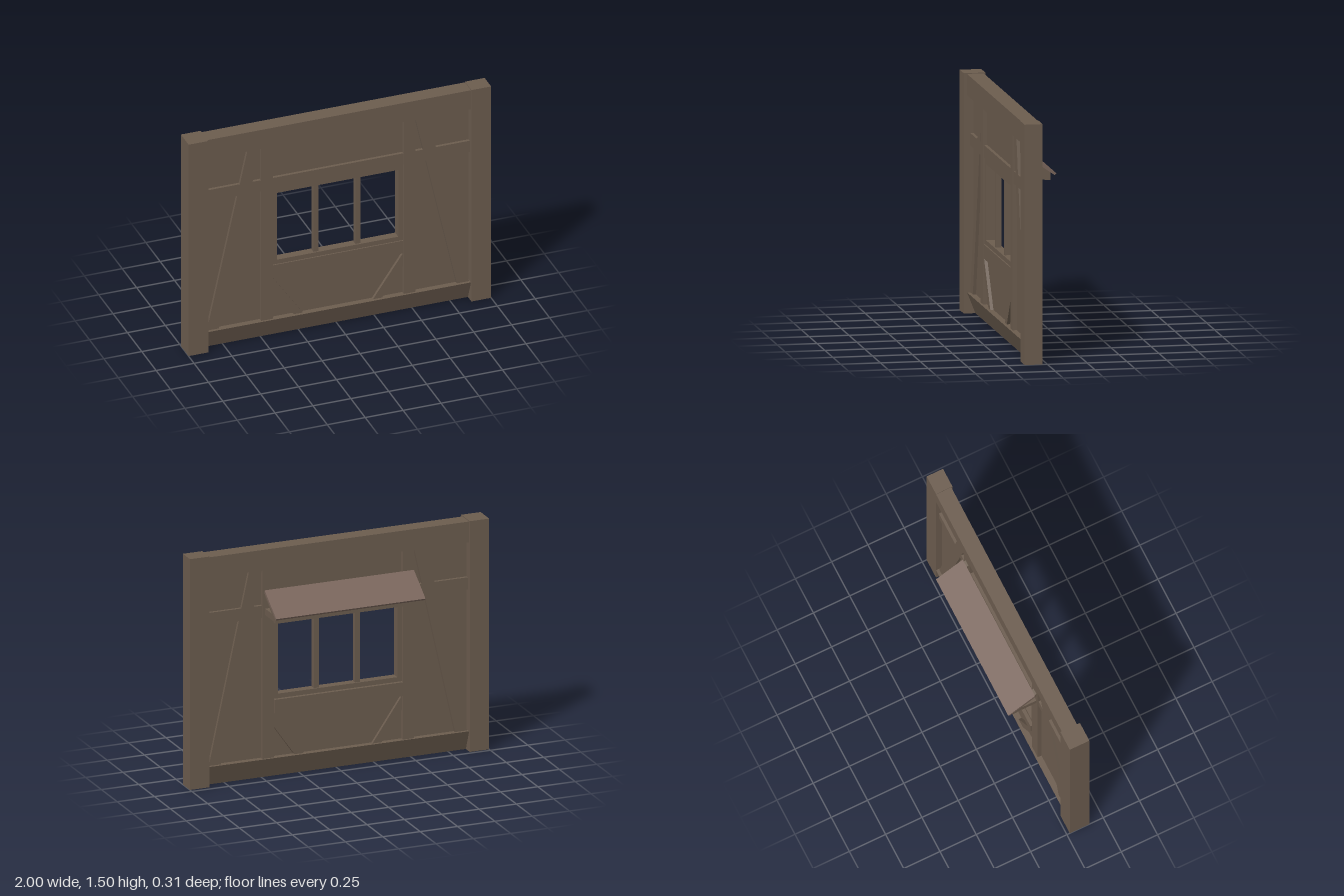
import * as THREE from 'three';

export function createModel() {
  const wood = new THREE.MeshStandardMaterial({ color: 0x6b5c4e });
  wood.name = 'timber brown';
  const roofWood = new THREE.MeshStandardMaterial({ color: 0x78645a });
  roofWood.name = 'awning reddish brown';

  const model = new THREE.Group();
  model.name = 'timberWallWithWindow';

  const add = (name, geometry, material = wood) => {
    const mesh = new THREE.Mesh(geometry, material);
    mesh.name = name;
    model.add(mesh);
    return mesh;
  };

  // Box given by its limits on each axis
  const box = (name, x0, x1, y0, y1, z0, z1, material) => {
    const g = new THREE.BoxGeometry(x1 - x0, y1 - y0, z1 - z0);
    g.translate((x0 + x1) / 2, (y0 + y1) / 2, (z0 + z1) / 2);
    return add(name, g, material);
  };

  const shapeOf = (points) => new THREE.Shape(points.map(([x, y]) => new THREE.Vector2(x, y)));

  // Outline in x, y given thickness along z
  const plate = (name, points, z0, z1, hole) => {
    const shape = shapeOf(points);
    if (hole) shape.holes.push(shapeOf(hole));
    const g = new THREE.ExtrudeGeometry(shape, { depth: z1 - z0, bevelEnabled: false });
    g.translate(0, 0, z0);
    return add(name, g);
  };

  // Profile in z, y swept along x
  const sweep = (name, points, x0, x1, material) => {
    const g = new THREE.ExtrudeGeometry(shapeOf(points), { depth: x1 - x0, bevelEnabled: false });
    g.rotateY(-Math.PI / 2);
    g.translate(x1, 0, 0);
    return add(name, g, material);
  };

  const rect = (x0, x1, y0, y1) => [[x0, y0], [x1, y0], [x1, y1], [x0, y1]];

  // Corner posts, the right one thicker
  box('rightPost', -1, -0.87, 0, 1.505, 0.02, 0.155);
  box('leftPost', 0.87, 1, 0, 1.505, 0.03, 0.143);

  // Top beam and wedge-shaped base beam
  box('topBeam', -0.87, 0.87, 1.365, 1.5, 0.03, 0.135);
  sweep('baseBeam', [[0.082, 0], [0.135, 0.132], [0.03, 0.132]], -0.87, 0.87);

  // Infill wall with window opening
  plate('infillPanel', rect(-0.88, 0.88, 0.11, 1.38), 0.07, 0.095, rect(-0.41, 0.41, 0.53, 1.03));

  // Window frame and mullions
  plate('windowFrame', rect(-0.43, 0.43, 0.51, 1.05), 0.055, 0.11, rect(-0.4, 0.4, 0.54, 1.015));
  for (const s of [-1, 1]) {
    box('windowMullion', s * 0.138 - 0.017, s * 0.138 + 0.017, 0.54, 1.015, 0.065, 0.1);
  }

  // Horizontal rails
  box('upperRail', -0.87, 0.87, 1.05, 1.13, 0.05, 0.115);
  box('windowSill', -0.43, 0.43, 0.42, 0.51, 0.033, 0.118);

  // Studs and slanting braces, mirrored
  for (const s of [-1, 1]) {
    const mirror = (points) => points.map(([x, y]) => [s * x, y]);
    box('stud', s * 0.47 - 0.038, s * 0.47 + 0.038, 0.13, 1.37, 0.044, 0.121);
    plate('longBrace', mirror([[0.865, 0.13], [0.785, 0.13], [0.51, 1.366], [0.595, 1.366]]), 0.05, 0.115);
    plate('shortBrace', mirror([[0.43, 0.42], [0.23, 0.13], [0.29, 0.13], [0.43, 0.33]]), 0.05, 0.115);

    // Awning bracket: level arm and sloping rafter
    const a = s * 0.47 - 0.02, b = s * 0.47 + 0.02;
    box('awningArm', a, b, 1.068, 1.11, -0.1, 0.06);
    sweep('awningRafter', [[0.05, 1.234], [0.05, 1.19], [-0.06, 1.11], [-0.122, 1.11]], a, b);
  }

  // Awning front rail and sloping board
  box('awningRail', -0.49, 0.49, 1.062, 1.11, -0.12, -0.085);
  sweep('awningBoard', [[0.03, 1.235], [0.03, 1.215], [-0.145, 1.093], [-0.155, 1.105]], -0.5, 0.5, roofWood);

  return model;
}
